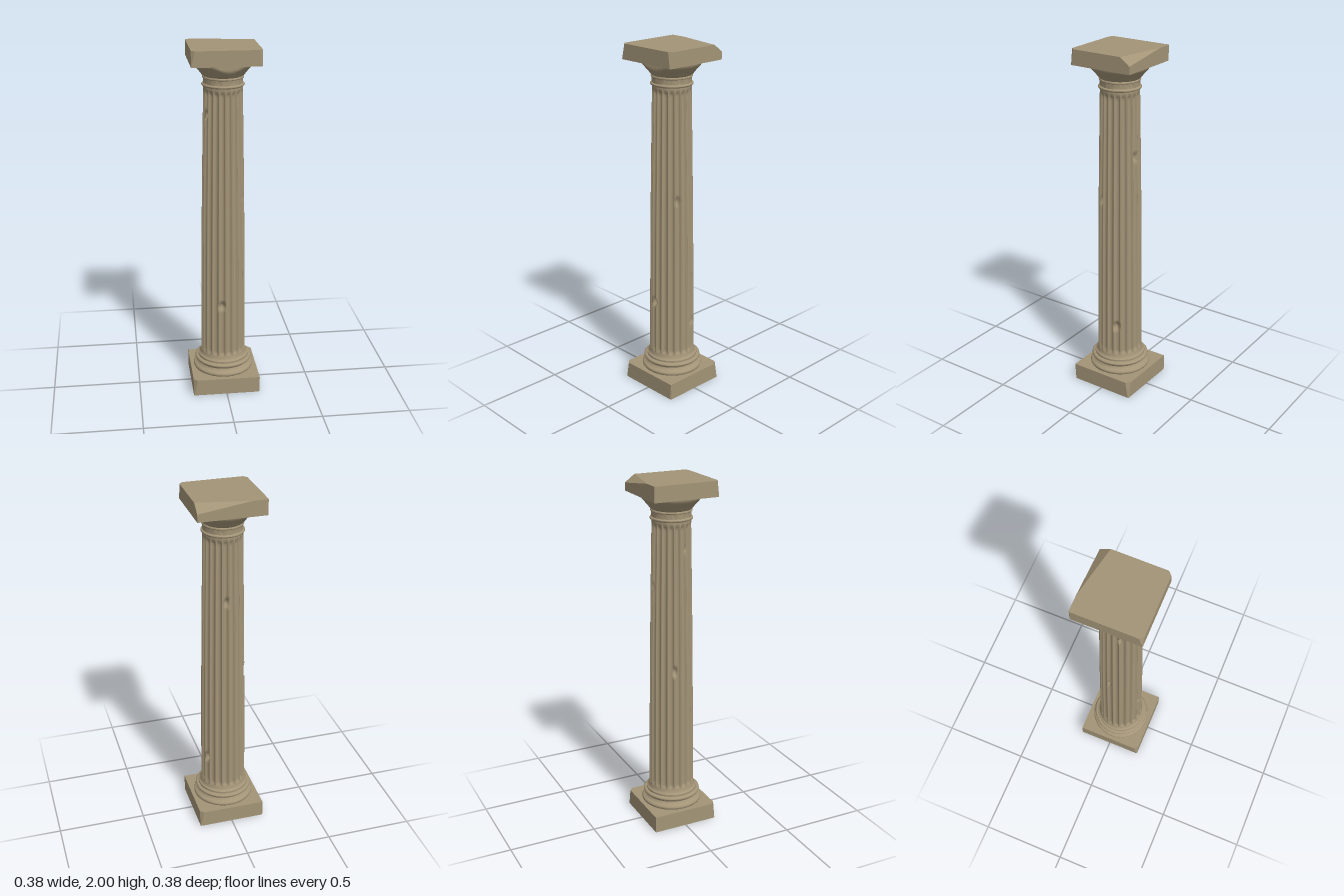
import * as THREE from 'three';
import { toCreasedNormals } from 'three/addons/utils/BufferGeometryUtils.js';
import { ConvexGeometry } from 'three/addons/geometries/ConvexGeometry.js';

const stone = new THREE.MeshStandardMaterial({ color: 0xa39477 });
stone.name = 'weathered stone';

const FLUTES = 20;
const Y0 = 0.185, Y1 = 1.8;

// Chips knocked out of the shaft: direction (x, z), height, half width, half height, depth
const chips = [
  { a: Math.atan2(-0.02, 0.125), y: 0.525, w: 0.027, h: 0.034, d: 0.03 },
  { a: Math.atan2(0.115, -0.055), y: 0.39, w: 0.026, h: 0.038, d: 0.03 },
  { a: Math.atan2(0.105, 0.055), y: 1.15, w: 0.02, h: 0.04, d: 0.025 },
  { a: Math.atan2(0.012, -0.11), y: 1.41, w: 0.022, h: 0.035, d: 0.026 },
  { a: Math.atan2(-0.113, -0.03), y: 0.94, w: 0.022, h: 0.036, d: 0.027 },
  { a: Math.atan2(-0.1, 0.04), y: 1.63, w: 0.018, h: 0.03, d: 0.022 },
];

// Shaft radius with a slight swelling
function shaftRadius(y) {
  const t = (y - Y0) / (Y1 - Y0);
  return 0.13 - 0.023 * t + 0.003 * Math.sin(Math.PI * t);
}

// Radius at an angle and height after carving flutes and chips
function carvedRadius(a, y) {
  const R = shaftRadius(y);
  const u = (a / (2 * Math.PI)) * FLUTES;
  const t = ((u - Math.floor(u)) * 2 - 1) / 0.84;
  const end = Math.min(y - 0.212, 1.758 - y) / 0.016;
  const fade = Math.sqrt(Math.max(0, 1 - (1 - Math.min(1, Math.max(0, end))) ** 2));
  let r = R - 0.012 * fade * Math.sqrt(Math.max(0, 1 - t * t));
  for (const c of chips) {
    const da = Math.atan2(Math.sin(a - c.a), Math.cos(a - c.a));
    const q = ((da * R) / c.w) ** 2 + ((y - c.y) / c.h) ** 2;
    if (q < 1) r = Math.min(r, R - c.d * (1 - q));
  }
  return r;
}

function shaftGeometry() {
  const cols = FLUTES * 12, rows = 140, pos = [], idx = [];
  for (let j = 0; j <= rows; j++) {
    const y = Y0 + ((Y1 - Y0) * j) / rows;
    for (let i = 0; i < cols; i++) {
      const a = (i / cols) * 2 * Math.PI;
      const r = carvedRadius(a, y);
      pos.push(r * Math.sin(a), y, r * Math.cos(a));
    }
  }
  for (let j = 0; j < rows; j++) {
    for (let i = 0; i < cols; i++) {
      const a = j * cols + i, b = j * cols + ((i + 1) % cols);
      idx.push(a, b, b + cols, a, b + cols, a + cols);
    }
  }
  const g = new THREE.BufferGeometry();
  g.setAttribute('position', new THREE.Float32BufferAttribute(pos, 3));
  g.setIndex(idx);
  g.computeVertexNormals();
  return g;
}

const turned = (points) =>
  new THREE.LatheGeometry(points.map(([r, y]) => new THREE.Vector2(r, y)), 72);

// Half-round moulding between two heights
function roll(r, bulge, y0, y1) {
  const out = [];
  for (let i = 0; i <= 8; i++) {
    const a = (i / 8) * Math.PI;
    out.push([r + bulge * Math.sin(a), (y0 + y1) / 2 - ((y1 - y0) / 2) * Math.cos(a)]);
  }
  return out;
}

// Square slab; each corner is either square (no cut) or chipped
function slab(s, y0, y1, cuts) {
  const pts = [];
  for (const { x, z, top = 0, bottom = 0, points } of cuts) {
    if (points) { pts.push(...points.map((p) => new THREE.Vector3(...p))); continue; }
    for (const [y, c] of [[y0, bottom], [y1, top]]) {
      pts.push(new THREE.Vector3(x * (s - c), y, z * s));
      if (c) pts.push(new THREE.Vector3(x * s, y, z * (s - c)));
    }
  }
  return new ConvexGeometry(pts);
}

export function createModel() {
  const model = new THREE.Group();
  model.name = 'column';
  const add = (name, geometry) => {
    const m = new THREE.Mesh(geometry, stone);
    m.name = name;
    model.add(m);
  };

  // Square plinth with worn corners
  add('plinth', slab(0.192, 0, 0.096, [
    { x: 1, z: 1, bottom: 0.008 },
    { x: -1, z: 1, top: 0.022, bottom: 0.004 },
    { x: 1, z: -1, top: 0.022, bottom: 0.004 },
    { x: -1, z: -1 },
  ]));

  // Round base mouldings
  add('baseMoulding', toCreasedNormals(turned([
    [0.0, 0.094], [0.16, 0.094],
    ...roll(0.16, 0.014, 0.096, 0.124),
    [0.158, 0.126], [0.15, 0.134], [0.148, 0.14], [0.151, 0.147],
    ...roll(0.152, 0.012, 0.149, 0.17),
    [0.146, 0.171], [0.146, 0.182], [0.138, 0.186], [0.133, 0.195], [0.13, 0.21], [0.12, 0.212],
  ]), 0.7));

  // Fluted shaft
  add('shaft', shaftGeometry());

  // Neck rings and flaring capital, with a flat broken off the front
  const capital = turned([
    [0.1, 1.778], [0.107, 1.78],
    ...roll(0.108, 0.009, 1.782, 1.798),
    [0.108, 1.8], [0.108, 1.824],
    ...roll(0.108, 0.005, 1.825, 1.838),
    [0.114, 1.842], [0.122, 1.852], [0.132, 1.865], [0.142, 1.876],
    [0.151, 1.886], [0.159, 1.896], [0.164, 1.905], [0.165, 1.917], [0.0, 1.917],
  ]);
  const p = capital.attributes.position;
  const nx = Math.sin(0.12), nz = Math.cos(0.12);
  for (let i = 0; i < p.count; i++) {
    const over = p.getX(i) * nx + p.getZ(i) * nz - 0.143;
    if (over > 0) p.setXYZ(i, p.getX(i) - over * nx, p.getY(i), p.getZ(i) - over * nz);
  }
  add('capital', toCreasedNormals(capital, 0.7));

  // Square abacus with a broken back corner
  const s = 0.187;
  add('abacus', slab(s, 1.915, 2, [
    { x: 1, z: 1, top: 0.02, bottom: 0.008 },
    { x: -1, z: 1, top: 0.02 },
    { x: -1, z: -1, top: 0.004, bottom: 0.004 },
    { points: [[s, 1.915, -s], [s, 1.958, -s], [s, 2, -0.13], [-0.1, 2, -s]] },
  ]));

  return model;
}
